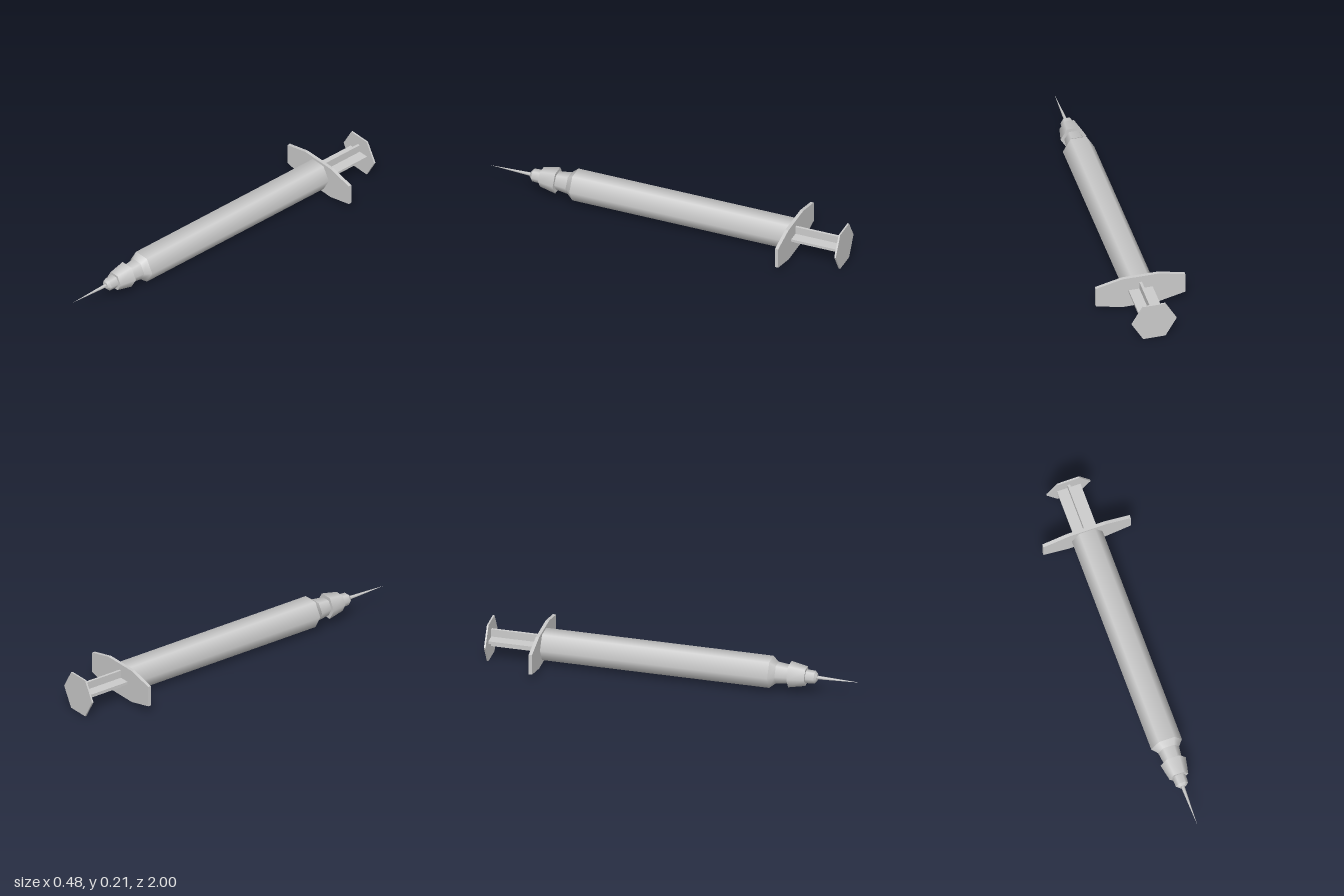
import * as THREE from 'three';
import { mergeGeometries } from 'three/addons/utils/BufferGeometryUtils.js';

const AXIS_Y = 0.11; // height of the barrel axis
const material = new THREE.MeshStandardMaterial({ color: 0xcccccc });

function add(group, name, geometry, y = 0, z = 0) {
  const mesh = new THREE.Mesh(geometry, material);
  mesh.name = name;
  mesh.position.set(0, y, z);
  group.add(mesh);
}

// Six-sided turned part along z, smooth around but creased between bands.
// profile: [radius, z] from back to front
function turned(profile) {
  const bands = [];
  for (let i = 0; i < profile.length - 1; i++) {
    const points = [profile[i], profile[i + 1]].map(([r, z]) => new THREE.Vector2(r, z));
    bands.push(new THREE.LatheGeometry(points, 6, Math.PI / 2));
  }
  return mergeGeometries(bands).rotateX(Math.PI / 2);
}

// Flat plate in the xy plane, extruded towards +z
function plate(corners, depth) {
  const shape = new THREE.Shape(corners.map(([x, y]) => new THREE.Vector2(x, y)));
  return new THREE.ExtrudeGeometry(shape, { depth, bevelEnabled: false });
}

export function createModel() {
  const group = new THREE.Group();
  group.name = 'syringe';

  // Barrel with chamfered shoulder and tapering neck
  add(group, 'barrel', turned([
    [0, -0.71], [0.085, -0.71], [0.085, 0.52], [0.058, 0.552], [0.048, 0.63], [0, 0.63],
  ]), AXIS_Y);

  // Needle hub: flared collar and small tip
  add(group, 'needleCollar', turned([
    [0, 0.62], [0.07, 0.62], [0.052, 0.71], [0, 0.71],
  ]), AXIS_Y);
  add(group, 'needleHub', turned([
    [0.037, 0.705], [0.034, 0.757], [0.02, 0.77], [0, 0.77],
  ]), AXIS_Y);
  add(group, 'needle', turned([[0.01, 0.765], [0, 1]]), AXIS_Y);

  // Finger flange with tapered wings
  add(group, 'fingerFlange', plate([
    [-0.242, -0.057], [-0.1, -0.091], [0.1, -0.091], [0.242, -0.057],
    [0.242, 0.057], [0.1, 0.091], [-0.1, 0.091], [-0.242, 0.057],
  ], 0.018), 0.106, -0.725);

  // Plunger rod with a cross-shaped section
  const w = 0.065, h = 0.049, t = 0.007;
  add(group, 'plungerRod', plate([
    [-w, -t], [-t, -t], [-t, -h], [t, -h], [t, -t], [w, -t],
    [w, t], [t, t], [t, h], [-t, h], [-t, t], [-w, t],
  ], 0.28), 0.112, -0.993);

  // Hexagonal thumb rest
  const hexagon = [];
  for (let i = 0; i < 6; i++) {
    const a = (i * Math.PI) / 3;
    hexagon.push([0.121 * Math.cos(a), 0.121 * Math.sin(a)]);
  }
  add(group, 'thumbRest', plate(hexagon, 0.009), 0.106, -1);

  return group;
}
